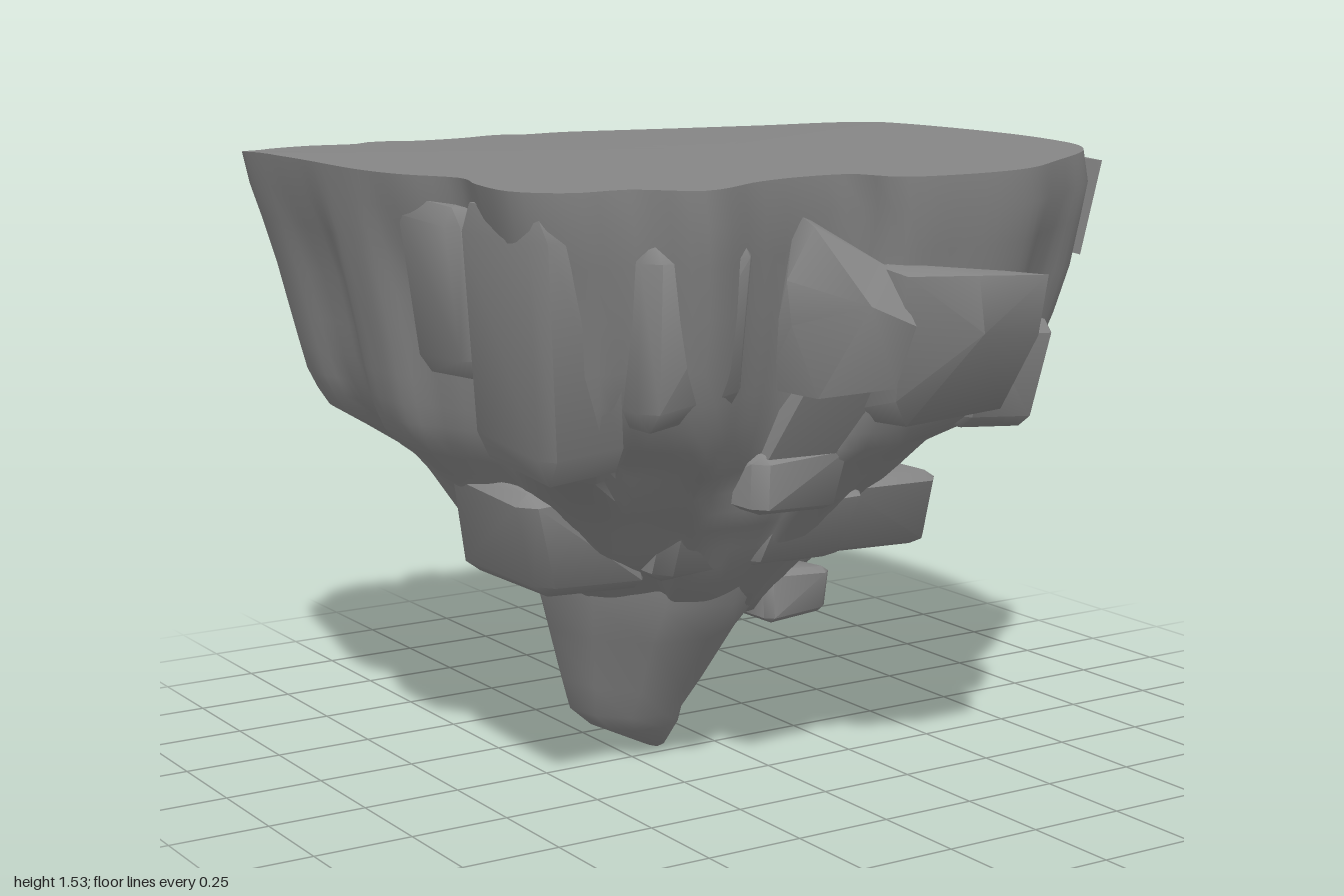
import * as THREE from 'three';
import { toCreasedNormals } from 'three/addons/utils/BufferGeometryUtils.js';
import { ConvexGeometry } from 'three/addons/geometries/ConvexGeometry.js';

const rock = new THREE.MeshStandardMaterial({ color: 0x858585 });
const hash = (a, b = 0) => {
  const s = Math.sin(a * 127.1 + b * 311.7 + 4.3) * 43758.5453;
  return s - Math.floor(s);
};
const { lerp, clamp, smoothstep } = THREE.MathUtils;

// Plateau rim, x and z
const rim = [
  [-0.97, -0.6], [-0.94, -0.75], [-0.86, -0.82], [-0.8, -0.89], [-0.66, -0.94], [-0.55, -0.91],
  [-0.49, -0.965], [-0.42, -0.97], [-0.37, -0.93], [-0.2, -0.95], [-0.14, -0.98], [-0.06, -1.0],
  [-0.01, -0.97], [0.12, -0.99], [0.28, -0.96], [0.46, -0.9], [0.58, -0.84], [0.68, -0.74],
  [0.8, -0.71], [0.88, -0.62], [0.93, -0.45], [0.95, -0.25], [0.95, 0], [0.92, 0.2], [0.87, 0.36],
  [0.77, 0.5], [0.55, 0.67], [0.33, 0.81], [0.1, 0.84], [-0.03, 0.81], [-0.08, 0.7], [-0.2, 0.69],
  [-0.35, 0.73], [-0.57, 0.84], [-0.69, 0.73], [-0.83, 0.73], [-0.92, 0.64], [-0.91, 0.45],
  [-0.87, 0.3], [-0.94, 0.15], [-0.97, 0], [-0.97, -0.3],
];

// Main mass: y, xMin, xMax, zMin, zMax, roundness
const bodyRows = [
  [1.53, -0.97, 0.95, -1.0, 0.84, 0],
  [1.45, -0.96, 0.965, -0.985, 0.84, 0],
  [1.2, -0.91, 0.91, -0.935, 0.8, 0.02],
  [1.0, -0.87, 0.83, -0.89, 0.74, 0.05],
  [0.9, -0.84, 0.78, -0.85, 0.68, 0.12],
  [0.84, -0.8, 0.67, -0.8, 0.6, 0.4],
  [0.78, -0.74, 0.59, -0.75, 0.57, 0.55],
  [0.7, -0.69, 0.54, -0.68, 0.48, 0.7],
  [0.6, -0.64, 0.46, -0.56, 0.4, 0.85],
  [0.52, -0.56, 0.38, -0.49, 0.3, 1],
  [0.45, -0.44, 0.27, -0.42, 0.24, 1],
  [0.37, -0.28, 0.18, -0.24, 0.13, 1],
];

// Hanging tip
const tipRows = [
  [0.56, -0.48, 0.2, -0.4, 0.3, 0],
  [0.44, -0.46, 0.13, -0.38, 0.28, 0],
  [0.34, -0.43, 0.06, -0.34, 0.21, 0],
  [0.2, -0.39, -0.02, -0.29, 0.13, 0],
  [0.12, -0.37, -0.07, -0.25, 0.08, 0],
  [0.08, -0.33, -0.085, -0.17, 0.055, 0],
  [0.01, -0.18, -0.13, -0.06, -0.02, 0],
];

// Linear lookup in a table sorted by falling y
function rowAt(rows, y) {
  let k = 0;
  while (k < rows.length - 2 && rows[k + 1][0] > y) k++;
  const a = rows[k], b = rows[k + 1];
  const t = clamp((a[0] - y) / (a[0] - b[0]), 0, 1);
  return a.map((v, i) => lerp(v, b[i], t));
}

// Places a unit outline point inside the extents of a row
function place(u, v, row, y, scale = 1) {
  const [, x0, x1, z0, z1, round] = row;
  const k = lerp(1, 1 / Math.hypot(u, v), round) * scale;
  return [(x0 + x1) / 2 + u * k * (x1 - x0) / 2, y, (z0 + z1) / 2 + v * k * (z1 - z0) / 2];
}

// Skin over rings running downwards, closed at both ends
function loft(name, rings, top, bottom, crease) {
  const n = rings[0].length, pos = rings.flat(2), idx = [];
  pos.push(...top, ...bottom);
  const t = rings.length * n, last = (rings.length - 1) * n;
  for (let i = 0; i < n; i++) {
    const j = (i + 1) % n;
    for (let r = 0; r < rings.length - 1; r++) {
      const a = r * n + i, b = r * n + j;
      idx.push(a, b, a + n, b, b + n, a + n);
    }
    idx.push(t, j, i, t + 1, last + i, last + j);
  }
  const g = new THREE.BufferGeometry();
  g.setAttribute('position', new THREE.Float32BufferAttribute(pos, 3));
  g.setIndex(idx);
  const mesh = new THREE.Mesh(toCreasedNormals(g, crease), rock);
  mesh.name = name;
  return mesh;
}

// Noise around the rim: broad steps with short slopes between them
function flute(a, count, layer) {
  const s = a * count, k = Math.floor(s);
  return lerp(hash(k, layer), hash((k + 1) % count, layer), smoothstep(s - k, 0.5, 1));
}

function makeBody() {
  const curve = new THREE.CatmullRomCurve3(rim.map(([x, z]) => new THREE.Vector3(x, 0, z)), true, 'centripetal');
  const n = 160;
  const outline = curve.getSpacedPoints(n).slice(0, n);
  const levels = [1.53, 1.45, 1.36, 1.24, 1.12, 1.04, 0.97, 0.92, 0.88, 0.84, 0.78, 0.73, 0.68, 0.62, 0.57, 0.52, 0.47, 0.42, 0.37];
  const rings = levels.map((y) => outline.map((p, i) => {
    // Columns of stone end at differing heights and depths
    const w = smoothstep(1.53 - y, 0, 0.3) * smoothstep(y, 0.36, 0.5);
    const low = 1 - smoothstep(y, 0.7, 1);
    const shift = lerp(flute(i / n, 24, 1), flute(i / n, 16, 2), low);
    const depth = lerp(flute(i / n, 24, 6), flute(i / n, 16, 7), low);
    const row = rowAt(bodyRows, y + (shift - 0.45) * 0.12 * w);
    const drop = 0.025 * smoothstep(-p.z, 0.5, 1) * smoothstep(y, 1.3, 1.45);
    return place((p.x + 0.01) / 0.96, (p.z + 0.08) / 0.92, row, y - drop, 1 - 0.05 * depth * w);
  }));
  return loft('islandBody', rings, [0, 1.535, 0], [-0.08, 0.34, -0.05], 0.75);
}

function makeTip() {
  const n = 10;
  const rings = tipRows.map((row) => Array.from({ length: n }, (_, i) => {
    const a = ((i + 0.25) / n) * Math.PI * 2, s = 1 - 0.05 * hash(i, 3);
    return place(Math.cos(a) * s, Math.sin(a) * s, row, row[0]);
  }));
  return loft('hangingTip', rings, [-0.14, 0.56, -0.05], [-0.15, 0, -0.04], 0.9);
}

// Rough block spanned by its corner points
function hull(name, pts) {
  const geometry = new ConvexGeometry(pts.map((p) => new THREE.Vector3(...p)));
  const mesh = new THREE.Mesh(toCreasedNormals(geometry, 0.9), rock);
  mesh.name = name;
  return mesh;
}

// Uneven box with worn corners whose lower end is shifted by lean in x and z
function chunk(name, [x0, x1], [y0, y1], [z0, z1], lean = [0, 0]) {
  const pts = [], wear = 0.1;
  for (let i = 0; i < 8; i++) {
    for (let axis = 0; axis < 3; axis++) {
      const [tx, ty, tz] = [0, 1, 2].map((m) => {
        const inset = 0.1 * hash(x0 * 7 + y0 * 3 + z0 + i, m) + (m === axis ? 0 : wear);
        return i & (1 << m) ? 1 - inset : inset;
      });
      pts.push([
        lerp(x0, x1, tx) + lean[0] * (1 - ty),
        lerp(y0, y1, ty),
        lerp(z0, z1, tz) + lean[1] * (1 - ty),
      ]);
    }
  }
  return hull(name, pts);
}

export function createModel() {
  const g = new THREE.Group();
  g.name = 'floatingIsland';
  g.add(makeBody(), makeTip());

  // Front boulder with an undercut face, and the slab beside it
  g.add(hull('frontBoulder', [
    [-0.05, 1.33, 0.7], [-0.04, 1.31, 0.86], [0.06, 1.32, 0.99], [0.25, 1.31, 1.0], [0.32, 1.28, 0.84], [0.32, 1.28, 0.6],
    [0.07, 1.19, 1.0], [0.24, 1.17, 0.98], [-0.04, 1.02, 0.82], [0.02, 0.95, 0.78],
    [0.28, 0.97, 0.8], [0.31, 0.98, 0.6], [-0.04, 0.95, 0.55],
  ]));
  g.add(hull('frontSlab', [
    [-0.21, 1.45, 0.66], [-0.2, 1.42, 0.72], [-0.03, 1.32, 0.78], [-0.03, 1.3, 0.6], [-0.26, 1.3, 0.7],
    [-0.26, 1.2, 0.72], [-0.14, 1.25, 0.86], [-0.03, 1.2, 0.88], [-0.04, 1.05, 0.82],
    [-0.2, 1.03, 0.74], [-0.22, 1.03, 0.55], [-0.04, 1.0, 0.55],
  ]));
  g.add(hull('boulderNeck', [
    [-0.2, 1.05, 0.7], [-0.04, 1.05, 0.74], [-0.24, 0.87, 0.6], [-0.02, 0.87, 0.62], [-0.2, 0.87, 0.4], [-0.04, 1.05, 0.4],
  ]));

  // Ledges below the boulder
  g.add(chunk('upperLedge', [-0.28, 0.01], [0.72, 0.89], [0.3, 0.65], [0, -0.05]));
  for (const [x0, x1, z] of [[-0.4, -0.1, 0.47], [-0.16, 0.16, 0.49], [0.08, 0.45, 0.43]]) {
    g.add(chunk('lowerLedge', [x0, x1], [0.53, 0.75], [0.0, z], [0, -0.08]));
  }

  // Corner columns at the front right
  g.add(chunk('cornerColumn', [-0.93, -0.68], [0.86, 1.5], [0.3, 0.72], [0.1, -0.09]));
  g.add(chunk('cornerColumn', [-0.7, -0.38], [0.98, 1.46], [0.4, 0.81], [0.04, -0.07]));

  // Columns along the back
  for (const [x0, x1, y0, z] of [[-0.85, -0.62, 0.95, -0.9], [-0.57, -0.34, 0.85, -0.98], [-0.22, 0.02, 0.95, -0.99]]) {
    g.add(chunk('backColumn', [x0, x1], [y0, 1.48], [z, z + 0.35], [-0.1 * x0, 0.1]));
  }

  // Blocks on the sides
  g.add(chunk('leftFrontBlock', [0.31, 0.57], [0.87, 1.17], [0.35, 0.7], [-0.03, -0.05]));
  g.add(hull('leftKnob', [
    [0.82, 1.51, 0.3], [0.9, 1.5, 0.3], [0.91, 1.49, 0.39], [0.85, 1.5, 0.48], [0.78, 1.51, 0.44],
    [0.87, 1.27, 0.32], [0.86, 1.26, 0.38], [0.82, 1.26, 0.44], [0.7, 1.3, 0.35],
  ]));
  g.add(chunk('rightPlate', [-0.95, -0.7], [1.05, 1.48], [0.06, 0.34], [0.06, 0]));
  g.add(chunk('rightLump', [-0.73, -0.38], [0.5, 0.8], [-0.14, 0.32], [0.06, -0.03]));
  g.add(chunk('smallKnob', [0.04, 0.24], [0.34, 0.48], [0, 0.19]));
  return g;
}
